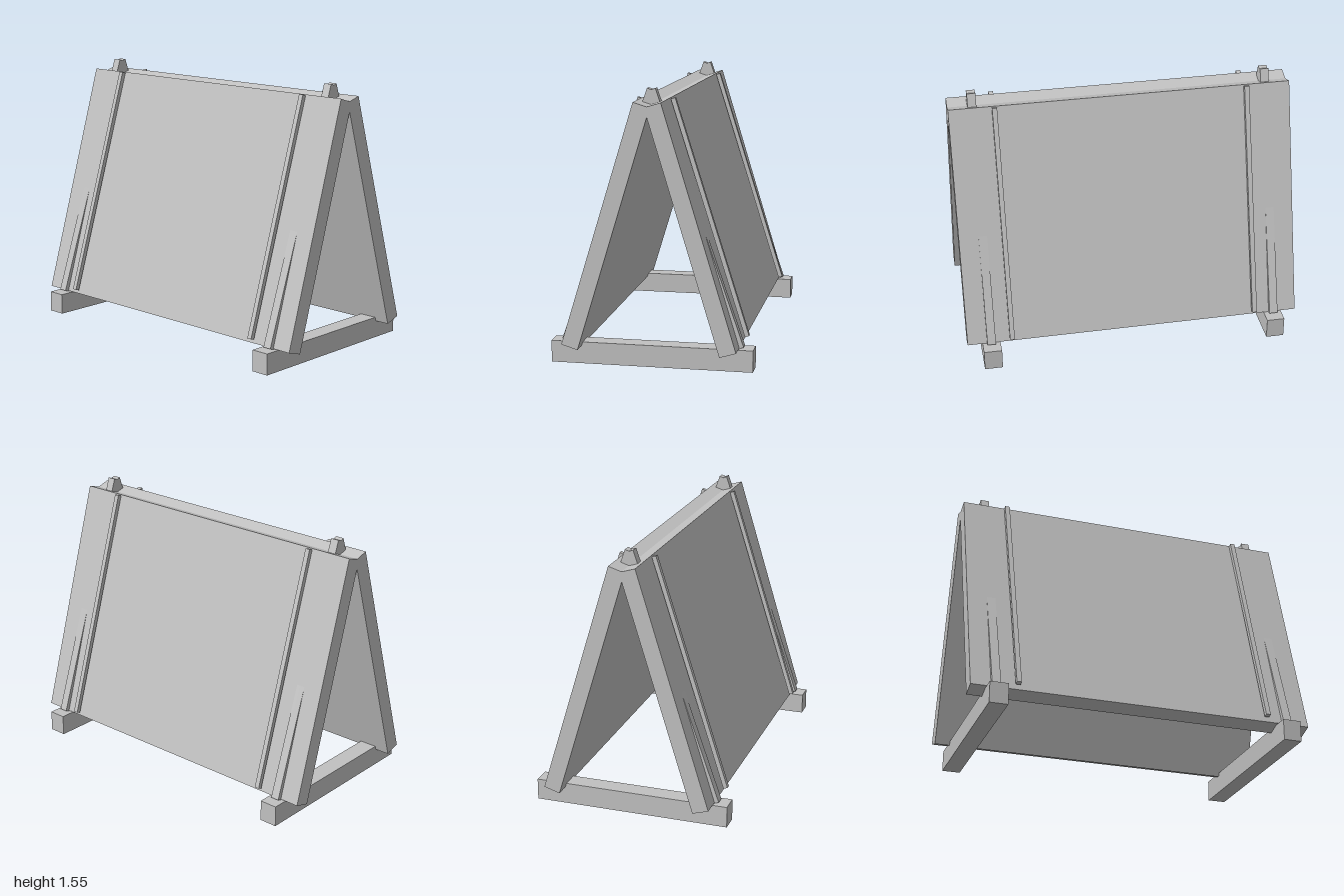
import * as THREE from 'three';

const grey = new THREE.MeshStandardMaterial({ color: 0xc0c0c0 });
grey.name = 'plainGrey';

// Leaning board whose outer face runs from (z0, y0) at the bottom to (z1, y1) at the top
function leaningBoard(name, x, width, thickness, [z0, y0], [z1, y1]) {
  const length = Math.hypot(z1 - z0, y1 - y0);
  const geometry = new THREE.BoxGeometry(width, length, thickness);
  geometry.translate(0, 0, -thickness / 2);
  const mesh = new THREE.Mesh(geometry, grey);
  mesh.name = name;
  mesh.position.set(x, (y0 + y1) / 2, (z0 + z1) / 2);
  mesh.rotation.x = Math.atan2(z1 - z0, y1 - y0);
  return mesh;
}

// One sloping side: panel, two thin battens and two posts
function createSide(name) {
  const side = new THREE.Group();
  side.name = name;
  side.add(leaningBoard('panel', 0, 2, 0.096, [0.489, 0.128], [0.076, 1.482]));
  for (const s of [-1, 1]) {
    side.add(leaningBoard('batten', s * 0.737, 0.028, 0.025, [0.524, 0.161], [0.105, 1.484]));
    side.add(leaningBoard('post', s * 0.86, 0.05, 0.055, [0.514, 0.132], [0.023, 1.547]));
  }
  return side;
}

export function createModel() {
  const model = new THREE.Group();
  model.name = 'tentShelter';

  const front = createSide('frontSide');
  const back = createSide('backSide');
  back.rotation.y = Math.PI;
  model.add(front, back);

  // Ground beams joining the feet of the posts
  for (const s of [-1, 1]) {
    const beam = new THREE.Mesh(new THREE.BoxGeometry(0.106, 0.123, 1.14), grey);
    beam.name = 'groundBeam';
    beam.position.set(s * 0.859, 0.0615, 0);
    model.add(beam);
  }
  return model;
}
